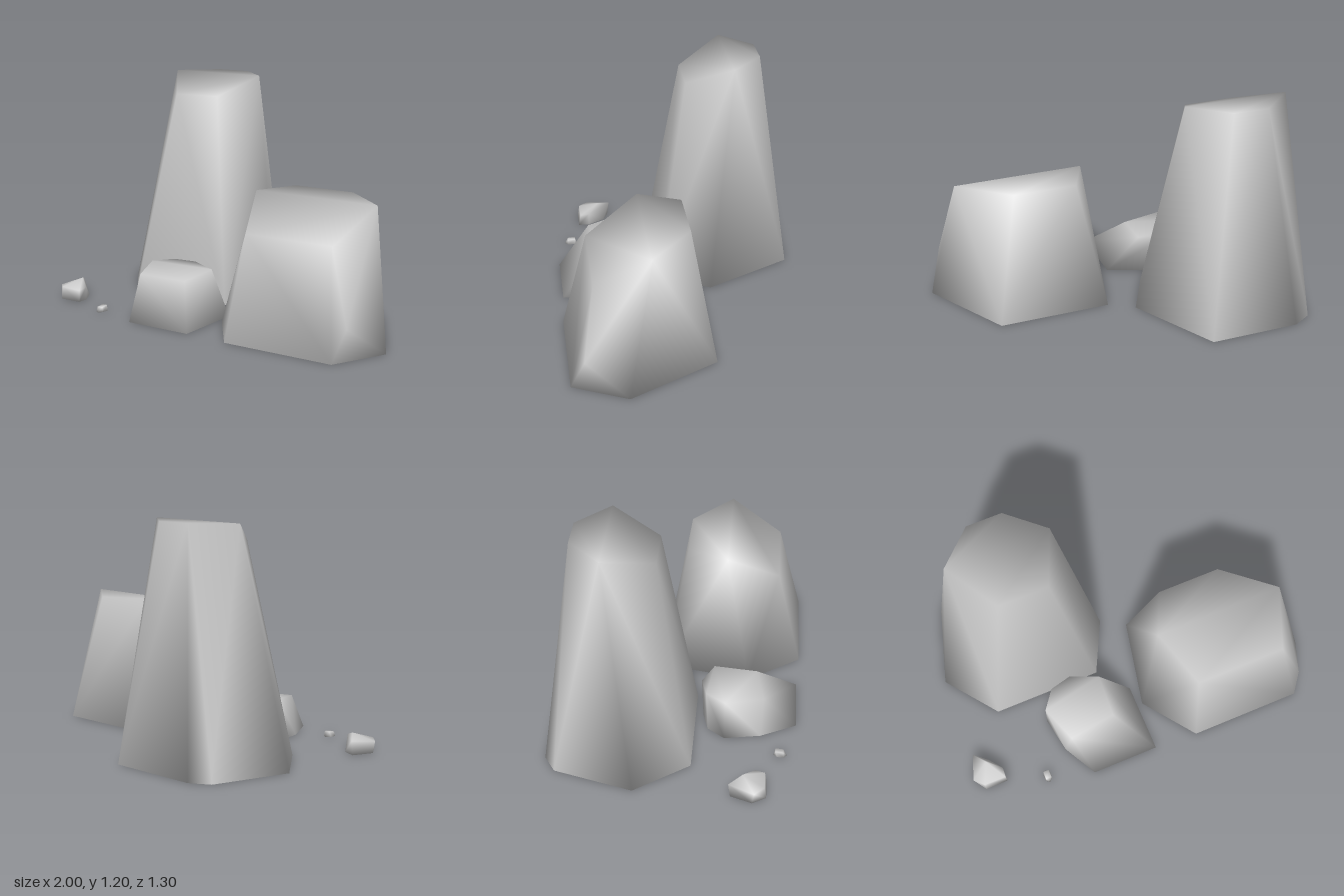
import * as THREE from 'three';
import { ConvexGeometry } from 'three/addons/geometries/ConvexGeometry.js';
import { mergeVertices } from 'three/addons/utils/BufferGeometryUtils.js';

const material = new THREE.MeshStandardMaterial({ color: 0xcccccc });

// A rock is the hull of a ground outline [x, z] and upper corners [x, y, z],
// with normals shared across every edge for a soft, worn look
function rock(name, base, upper) {
  const points = [
    ...base.map(([x, z]) => new THREE.Vector3(x, 0, z)),
    ...upper.map((p) => new THREE.Vector3(...p)),
  ];
  let geometry = new ConvexGeometry(points);
  geometry.deleteAttribute('normal');
  geometry = mergeVertices(geometry, 1e-4);
  geometry.computeVertexNormals();
  const mesh = new THREE.Mesh(geometry, material);
  mesh.name = name;
  return mesh;
}

export function createModel() {
  const group = new THREE.Group();
  group.name = 'rockCluster';

  // Tall tapering boulder at the back
  group.add(rock('tallRock',
    [[-0.945, -0.18], [-0.82, -0.59], [-0.72, -0.65], [-0.24, -0.65], [0.01, -0.18], [-0.13, 0.1], [-0.73, 0.1]],
    [[-0.57, 1.2, -0.5], [-0.38, 1.2, -0.5], [-0.19, 1.2, -0.33],
      [-0.3, 1.1, -0.08], [-0.57, 1.1, -0.08], [-0.75, 1.2, -0.33]]));

  // Wide boulder with a sloping front
  group.add(rock('wideRock',
    [[0.04, 0.37], [0.14, -0.1], [0.74, -0.1], [1, 0.37], [0.86, 0.65], [0.25, 0.65]],
    [[0.27, 0.69, 0.02], [0.61, 0.69, 0.02], [0.87, 0.69, 0.24],
      [0.78, 0.53, 0.52], [0.29, 0.53, 0.52], [0.17, 0.69, 0.24], [0.9, 0.16, 0.58]]));

  // Low stone in front
  group.add(rock('lowRock',
    [[-0.495, 0.26], [-0.46, 0.45], [-0.36, 0.635], [0.01, 0.635], [0.01, 0.26], [-0.3, 0.14], [-0.42, 0.17]],
    [[-0.495, 0.23, 0.26], [-0.42, 0.23, 0.16], [-0.3, 0.225, 0.13],
      [-0.15, 0.215, 0.19], [-0.16, 0.2, 0.42], [-0.42, 0.21, 0.46]]));

  // Pebbles
  group.add(rock('pebble',
    [[-0.995, 0.42], [-0.95, 0.31], [-0.88, 0.34], [-0.825, 0.43], [-0.825, 0.49], [-0.95, 0.49]],
    [[-1, 0.06, 0.43], [-0.95, 0.075, 0.3], [-0.9, 0.1, 0.37],
      [-0.825, 0.07, 0.43], [-0.83, 0.06, 0.48], [-0.95, 0.065, 0.48]]));
  group.add(rock('tinyPebble',
    [[-0.63, 0.54], [-0.61, 0.52], [-0.59, 0.53], [-0.59, 0.57], [-0.61, 0.59], [-0.63, 0.575]],
    [[-0.625, 0.03, 0.53], [-0.595, 0.03, 0.53], [-0.595, 0.025, 0.57], [-0.625, 0.025, 0.57]]));

  return group;
}
